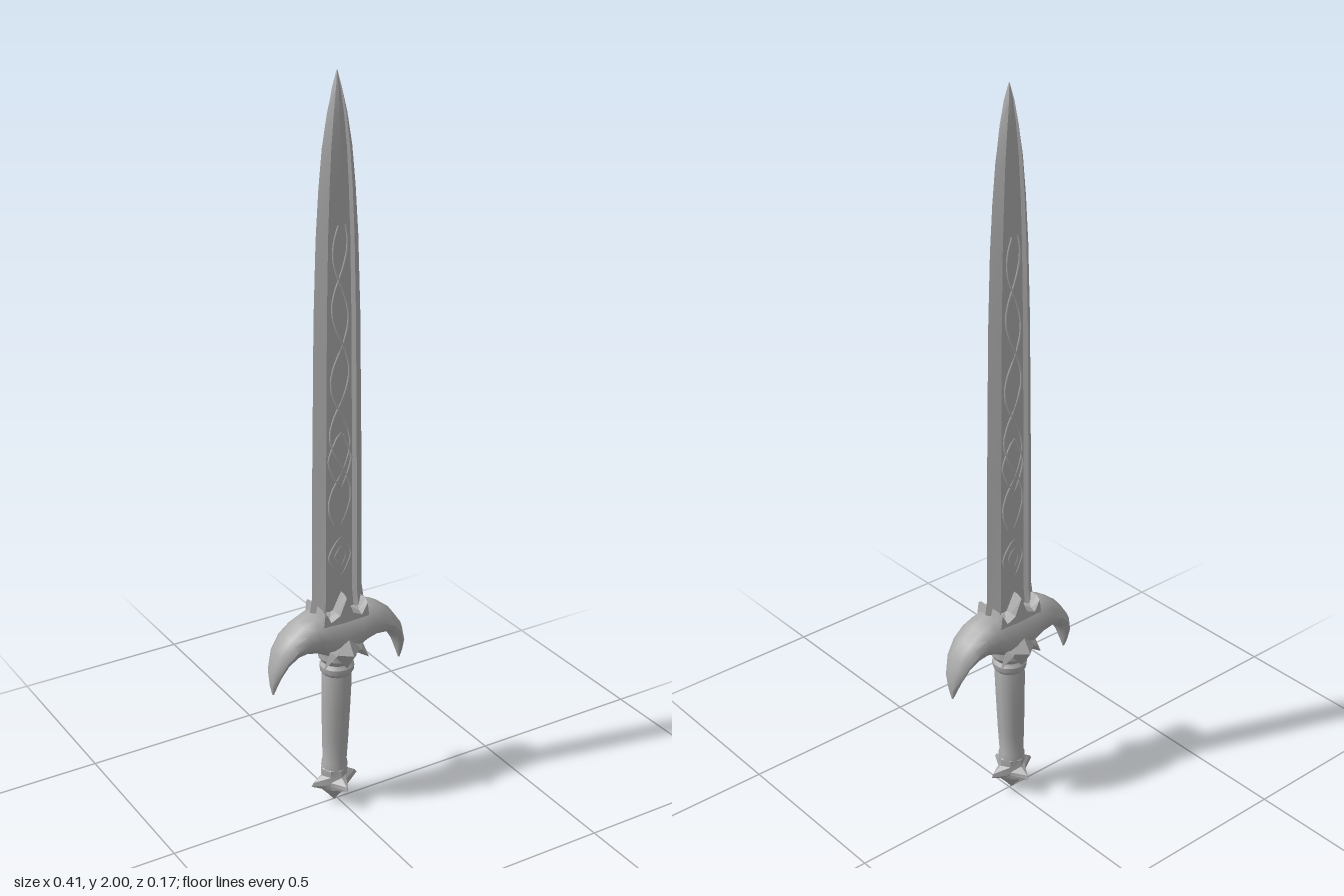
import * as THREE from 'three';
import { toCreasedNormals } from 'three/addons/utils/BufferGeometryUtils.js';

// Skin a list of rings (each wound right-handed about the path) and cap both ends.
function loft(rings, crease) {
  const n = rings[0].length;
  const pos = rings.flat(2);
  const idx = [];
  for (let r = 0; r < rings.length - 1; r++) {
    for (let i = 0; i < n; i++) {
      const j = (i + 1) % n;
      const a = r * n + i, b = r * n + j;
      idx.push(a, b, b + n, a, b + n, a + n);
    }
  }
  const last = (rings.length - 1) * n;
  for (let i = 1; i < n - 1; i++) {
    idx.push(0, i + 1, i, last, last + i, last + i + 1);
  }
  const g = new THREE.BufferGeometry();
  g.setAttribute('position', new THREE.Float32BufferAttribute(pos, 3));
  g.setIndex(idx);
  return toCreasedNormals(g, crease);
}

export function createModel() {
  const sword = new THREE.Group();
  sword.name = 'sword';
  const steel = new THREE.MeshStandardMaterial({ color: 0xaaaaaa });
  steel.name = 'grey steel';

  function add(name, geometry, x = 0, y = 0, z = 0) {
    const m = new THREE.Mesh(geometry, steel);
    m.name = name;
    m.position.set(x, y, z);
    sword.add(m);
    return m;
  }

  // Blade: bevelled edges, sunken fullers and a central ridge; [y, half width, half thickness]
  const bladeStations = [
    [0.5, 0.07, 0.026], [0.6, 0.082, 0.025], [0.64, 0.076, 0.023], [1.0, 0.073, 0.022],
    [1.4, 0.067, 0.021], [1.6, 0.06, 0.02], [1.72, 0.052, 0.019], [1.82, 0.042, 0.017],
    [1.9, 0.028, 0.014], [1.96, 0.013, 0.009], [2.0, 0.001, 0.001],
  ];
  const half = [[1, 0], [0.62, -1], [0.5, -0.6], [0, -0.85], [-0.5, -0.6], [-0.62, -1]];
  const section = [...half, ...half.map(([x, z]) => [-x, -z])];
  add('blade', loft(bladeStations.map(([y, w, t]) =>
    section.map(([x, z]) => [x * w, y, z * t])), 0.3));

  // Engraved vines and diamonds standing slightly proud of the fullers, on both faces
  function strip(points, closed = false) {
    const curve = new THREE.CatmullRomCurve3(
      points.map(([x, y]) => new THREE.Vector3(x, y, 0.0175 - Math.abs(x) * 0.1)),
      closed, 'catmullrom', 0.3);
    return new THREE.TubeGeometry(curve, points.length * 5, 0.0032, 4, closed);
  }
  const ornaments = [];
  for (const s of [1, -1]) {
    const vine = [];
    for (let i = 0; i <= 24; i++) {
      const y = 0.84 + i * 0.033;
      vine.push([s * (0.034 - i * 0.0006) * Math.sin(i * 0.62 + (s > 0 ? 0 : 0.5)), y]);
    }
    ornaments.push(strip(vine));
  }
  for (const [y, w, h] of [[0.75, 0.033, 0.055], [0.75, 0.016, 0.028], [1.02, 0.034, 0.075]]) {
    ornaments.push(strip([[0, y - h], [w, y], [0, y + h], [-w, y]], true));
  }
  for (const side of [0, Math.PI]) {
    ornaments.forEach((g) => { add('bladeOrnament', g).rotation.y = side; });
  }

  // Crescent guard: [inner x, inner y, outer x, outer y, half depth] from middle to horn tip
  const horn = [
    [0, 0.455, 0, 0.6, 0.062], [0.045, 0.465, 0.05, 0.6, 0.062],
    [0.075, 0.482, 0.085, 0.598, 0.06], [0.105, 0.491, 0.122, 0.581, 0.057],
    [0.135, 0.489, 0.158, 0.552, 0.052], [0.16, 0.472, 0.187, 0.51, 0.043],
    [0.178, 0.44, 0.203, 0.455, 0.029], [0.187, 0.41, 0.203, 0.415, 0.014],
    [0.194, 0.387, 0.198, 0.388, 0.003],
  ];
  const mirrored = horn.slice(1).reverse().map(([a, b, c, d, e]) => [-a, b, -c, d, e]);
  const guardRings = [...mirrored, ...horn].map(([ix, iy, ox, oy, d]) => {
    const ring = [];
    for (let i = 0; i < 12; i++) {
      const a = (i / 12) * Math.PI * 2;
      const k = 0.5 + 0.5 * Math.cos(a);
      ring.push([ix + (ox - ix) * k, iy + (oy - iy) * k, Math.sin(a) * d]);
    }
    return ring;
  });
  add('guard', loft(guardRings, 0.7));

  // Three-pronged collar gripping the root of the blade
  const prongs = new THREE.Shape([
    [-0.055, 0.53], [0.055, 0.53], [0.075, 0.575], [0.066, 0.618], [0.045, 0.588], [0.024, 0.598],
    [0, 0.648], [-0.024, 0.598], [-0.045, 0.588], [-0.066, 0.618], [-0.075, 0.575],
  ].map(([x, y]) => new THREE.Vector2(x, y)));
  const collarGeo = new THREE.ExtrudeGeometry(prongs, {
    depth: 0.07, bevelEnabled: true, bevelThickness: 0.014, bevelSize: 0.006,
    bevelOffset: -0.006, bevelSegments: 1,
  });
  add('bladeCollar', collarGeo, 0, 0, -0.035);

  // Faceted diamond boss with flanking leaves on each face of the guard
  for (const s of [1, -1]) {
    const boss = new THREE.OctahedronGeometry(1);
    boss.scale(0.042, 0.052, 0.034);
    add('guardBoss', boss, 0, 0.485, s * 0.052);
    for (const t of [1, -1]) {
      const leaf = new THREE.OctahedronGeometry(1);
      leaf.scale(0.016, 0.05, 0.016);
      add('guardLeaf', leaf, t * 0.038, 0.485, s * 0.048).rotation.z = t * 0.7;
    }
  }

  // Grip with a flared throat, wrapped bands and a slight lean
  const lean = (g) => {
    const p = g.attributes.position;
    for (let i = 0; i < p.count; i++) p.setX(i, p.getX(i) - 0.01 * Math.max(0, (0.45 - p.getY(i)) / 0.4));
    return g;
  };
  const gripProfile = [
    [0.001, 0.09], [0.034, 0.09], [0.036, 0.12], [0.033, 0.13], [0.036, 0.2], [0.039, 0.3],
    [0.041, 0.385], [0.039, 0.4], [0.046, 0.41], [0.047, 0.425], [0.04, 0.435],
    [0.052, 0.452], [0.052, 0.48], [0.001, 0.49],
  ].map(([r, y]) => new THREE.Vector2(r, y));
  add('grip', lean(toCreasedNormals(new THREE.LatheGeometry(gripProfile, 14), 0.6)));

  // Pommel: four-pointed star cap narrowing to a spike; [y, point radius, valley radius]
  const pommelRings = [
    [0, 0.002, 0.002], [0.025, 0.022, 0.018], [0.045, 0.04, 0.032], [0.062, 0.072, 0.036],
    [0.072, 0.066, 0.036], [0.088, 0.04, 0.035], [0.108, 0.038, 0.037], [0.114, 0.03, 0.03],
  ].map(([y, point, valley]) => {
    const ring = [];
    for (let i = 0; i < 8; i++) {
      const a = (i / 8) * Math.PI * 2;
      const r = i % 2 ? valley : point;
      ring.push([Math.cos(a) * r - 0.009, y, -Math.sin(a) * r]);
    }
    return ring;
  });
  add('pommel', loft(pommelRings, 0.4));

  return sword;
}
